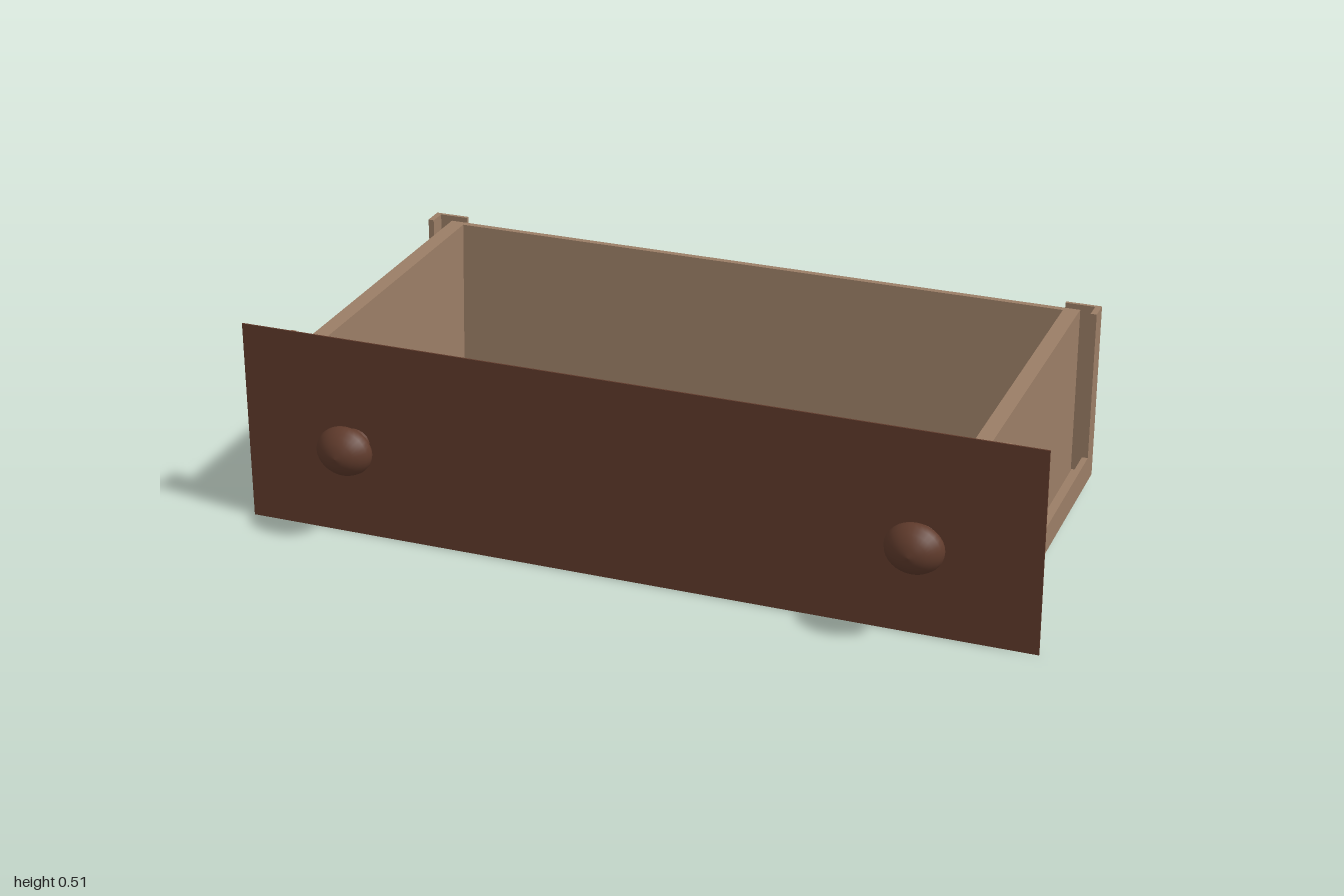
import * as THREE from 'three';

export function createModel() {
  const root = new THREE.Group();
  root.name = 'drawer';
  const wood = new THREE.MeshStandardMaterial({ color: 0x9b7e66 });
  wood.name = 'light wood';
  const dark = new THREE.MeshStandardMaterial({ color: 0x603b2c });
  dark.name = 'dark wood';

  const add = (name, geometry, material = wood) => {
    const mesh = new THREE.Mesh(geometry, material);
    mesh.name = name;
    root.add(mesh);
    return mesh;
  };
  // box given by its minimum and maximum on each axis
  const box = (name, x0, x1, y0, y1, z0, z1, material) =>
    add(name, new THREE.BoxGeometry(x1 - x0, y1 - y0, z1 - z0), material)
      .position.set((x0 + x1) / 2, (y0 + y1) / 2, (z0 + z1) / 2);

  const X = 0.9, BACK = -0.5, FRONT = 0.39, Y0 = 0.03, TOP = 0.49, RAIL = 0.1;
  const TX = 0.015, TZ = 0.009; // frame board thickness

  // side frames: corner stiles and a bottom rail, with the side wall set behind
  for (const s of [-1, 1]) {
    const side = (name, a, b, y0, y1, z0, z1) =>
      box(name, Math.min(s * a, s * b), Math.max(s * a, s * b), y0, y1, z0, z1);
    side('sideStileFront', X - TX, X, Y0, TOP, 0.335, FRONT);
    side('sideStileBack', X - TX, X, Y0, TOP, BACK, -0.445);
    side('sideRail', X - TX, X, Y0, RAIL, -0.445, 0.335);
    side('sideWall', 0.81, 0.85, 0.036, 0.48, -0.483, 0.355);
    // stiles on the front and back, completing the L-shaped corners
    side('backStile', 0.81, X - TX, Y0, TOP, BACK, BACK + TZ);
    side('frontStile', 0.81, X - TX, Y0, TOP, FRONT - TZ, FRONT);
  }
  box('backRail', -0.81, 0.81, Y0, RAIL, BACK, BACK + TZ);
  box('frontRail', -0.81, 0.81, Y0, RAIL, FRONT - TZ, FRONT);

  // front and back walls, thicker toward the floor; shape is drawn in (z, y)
  const wall = (name, outer, innerTop, innerBottom) => {
    const shape = new THREE.Shape([
      [outer, 0.036], [innerBottom, 0.036], [innerTop, 0.48], [outer, 0.48],
    ].map(([z, y]) => new THREE.Vector2(-z, y)));
    const g = new THREE.ExtrudeGeometry(shape, { depth: 1.62, bevelEnabled: false });
    g.translate(0, 0, -0.81);
    g.rotateY(Math.PI / 2);
    add(name, g);
  };
  wall('backWall', -0.483, -0.467, -0.443);
  wall('frontWall', 0.355, 0.338, 0.31);

  // bottom frame around a slightly recessed floor
  const rect = (Shape, x, z0, z1) => new Shape([
    new THREE.Vector2(-x, -z1), new THREE.Vector2(x, -z1),
    new THREE.Vector2(x, -z0), new THREE.Vector2(-x, -z0),
  ]);
  const base = rect(THREE.Shape, X - TX, BACK + TZ, FRONT - TZ);
  base.holes.push(rect(THREE.Path, 0.81, -0.45, 0.34));
  const baseGeometry = new THREE.ExtrudeGeometry(base, { depth: 0.01, bevelEnabled: false });
  baseGeometry.rotateX(-Math.PI / 2);
  add('bottomFrame', baseGeometry).position.y = Y0;
  box('floor', -0.81, 0.81, 0.034, 0.041, -0.45, 0.34);

  // front panel
  box('frontPanel', -1, 1, 0, 0.515, FRONT, FRONT + 0.004, dark);

  // knobs: turned profile of (radius, distance from the panel)
  const profile = [
    [0.036, 0], [0.033, 0.012], [0.034, 0.022], [0.043, 0.03], [0.056, 0.037],
    [0.062, 0.046], [0.063, 0.055], [0.059, 0.068], [0.049, 0.082],
    [0.036, 0.094], [0.019, 0.103], [0, 0.106],
  ].map(([r, d]) => new THREE.Vector2(r, d));
  const knob = new THREE.LatheGeometry(profile, 32);
  knob.rotateX(Math.PI / 2);
  knob.scale(1.14, 1, 1);
  for (const s of [-1, 1]) add('knob', knob, dark).position.set(s * 0.713, 0.247, FRONT + 0.004);

  return root;
}
